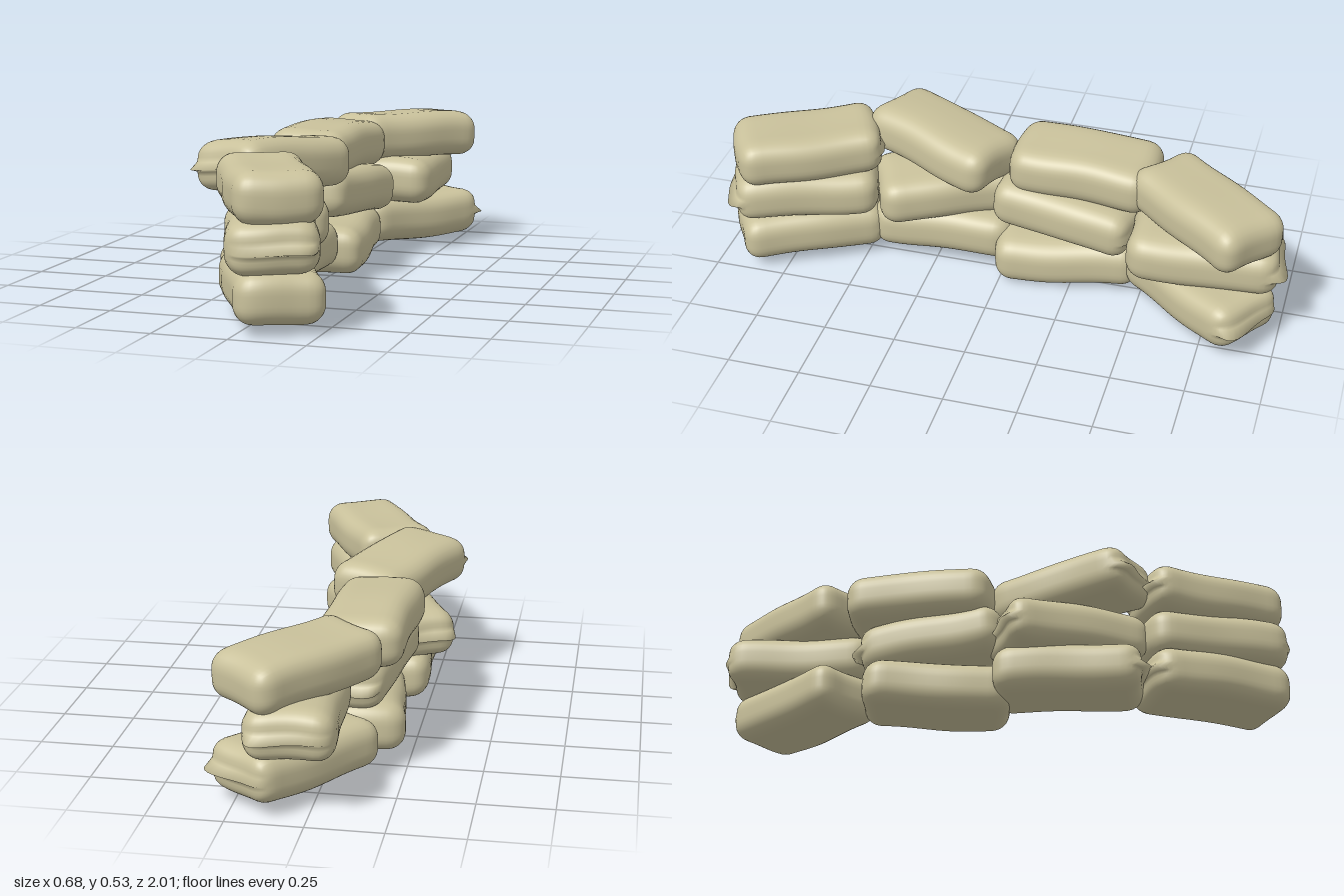
import * as THREE from 'three';
import { mergeVertices } from 'three/addons/utils/BufferGeometryUtils.js';

const HALF = new THREE.Vector3(0.143, 0.084, 0.256);
const RADIUS = 0.064;

// One filled sack: a soft rounded box along z, gently lumpy,
// with an optional sewn flap at one end (+1 front, -1 back), strongest at one corner.
function sackGeometry(seed, flapEnd, flapCorner) {
  const box = new THREE.BoxGeometry(2, 2, 2, 14, 14, 22);
  box.deleteAttribute('normal');
  box.deleteAttribute('uv');
  const geometry = mergeVertices(box);
  const pos = geometry.attributes.position;
  const p = new THREE.Vector3(), inner = new THREE.Vector3(), d = new THREE.Vector3();
  const core = HALF.clone().subScalar(RADIUS);
  const low = core.clone().negate();
  const spread = (t) => 0.6 * Math.sin(t * Math.PI / 2) + 0.4 * t;
  for (let i = 0; i < pos.count; i++) {
    p.fromBufferAttribute(pos, i);
    const rowY = p.y;
    p.set(spread(p.x), spread(p.y), spread(p.z)).multiply(HALF);
    // round every edge and corner
    inner.copy(p).clamp(low, core);
    d.copy(p).sub(inner);
    if (d.lengthSq() > 0) p.copy(inner).addScaledVector(d.normalize(), RADIUS);
    const u = p.x / HALF.x, w = p.z / HALF.z;
    // slumped filling: fuller middle, wavy sides
    p.y *= 0.97 + 0.07 * (1 - u * u) * (1 - 0.6 * w * w);
    p.y += 0.004 * Math.sin(3.5 * w + seed) + 0.003 * Math.sin(3 * u + seed * 2);
    p.x += 0.003 * Math.sin(5 * w + seed * 1.7) * u;
    p.z += 0.004 * Math.sin(4 * u + seed * 2.3) * w;
    // pinched end seam, drooping slightly
    const end = flapEnd * w;
    if (flapEnd && end > 0.8) {
      const k = THREE.MathUtils.smoothstep(end, 0.8, 0.98);
      const corner = THREE.MathUtils.smoothstep(u * flapCorner, -0.9, 0.8);
      const ridge = Math.exp(-Math.pow(rowY / 0.1, 2));
      const groove = Math.exp(-Math.pow(rowY / 0.4, 2)) - ridge;
      p.z += flapEnd * k * (0.024 * ridge * (0.2 + corner) - 0.006 * groove);
      p.x += flapCorner * k * ridge * corner * 0.006;
      p.y -= 0.01 * k * ridge;
    }
    pos.setXYZ(i, p.x, p.y, p.z);
  }
  geometry.computeVertexNormals();
  return geometry;
}

// Each sack: x, y, z, turn (positive swings the front to +x), pitch, roll in degrees, flap end, flap corner
const COURSES = {
  bottom: [
    [0.035, 0.118, 0.715, 28, 0, 0, -1, -1],
    [-0.10, 0.118, 0.235, 2, 0, 0, 1, -1],
    [-0.06, 0.094, -0.22, 8, 2, 0, 0, 1],
    [0.08, 0.118, -0.715, -38, 0, 0, -1, 1],
  ],
  middle: [
    [0.04, 0.270, 0.72, 21, 0, 0, 1, 1],
    [-0.105, 0.265, 0.235, 27, 0, 0, -1, -1],
    [-0.055, 0.275, -0.225, -8, -5, 0, -1, -1],
    [0.068, 0.270, -0.725, 3, 0, 0, -1, 1],
  ],
  top: [
    [0.03, 0.418, 0.71, 28, 1, 0, -1, -1],
    [-0.115, 0.432, 0.25, -24, -3, 3, 1, -1],
    [-0.095, 0.424, -0.27, -3, -1, 0, 0, 1],
    [0.068, 0.424, -0.718, -39, -2, 0, 0, 1],
  ],
};

export function createModel() {
  const model = new THREE.Group();
  model.name = 'sandbagWall';
  const cloth = new THREE.MeshStandardMaterial({ color: 0xc9c19b });
  let seed = 0;
  for (const [course, sacks] of Object.entries(COURSES)) {
    const row = new THREE.Group();
    row.name = `${course}Course`;
    sacks.forEach(([x, y, z, turn, pitch, roll, flapEnd, flapCorner], i) => {
      const sack = new THREE.Mesh(sackGeometry((seed += 1.3), flapEnd, flapCorner), cloth);
      sack.name = `${course}Sandbag${i + 1}`;
      sack.position.set(x, y, z);
      const [rx, ry, rz] = [pitch, turn, roll].map(THREE.MathUtils.degToRad);
      sack.rotation.set(rx, ry, rz, 'YXZ');
      row.add(sack);
    });
    model.add(row);
  }
  return model;
}
